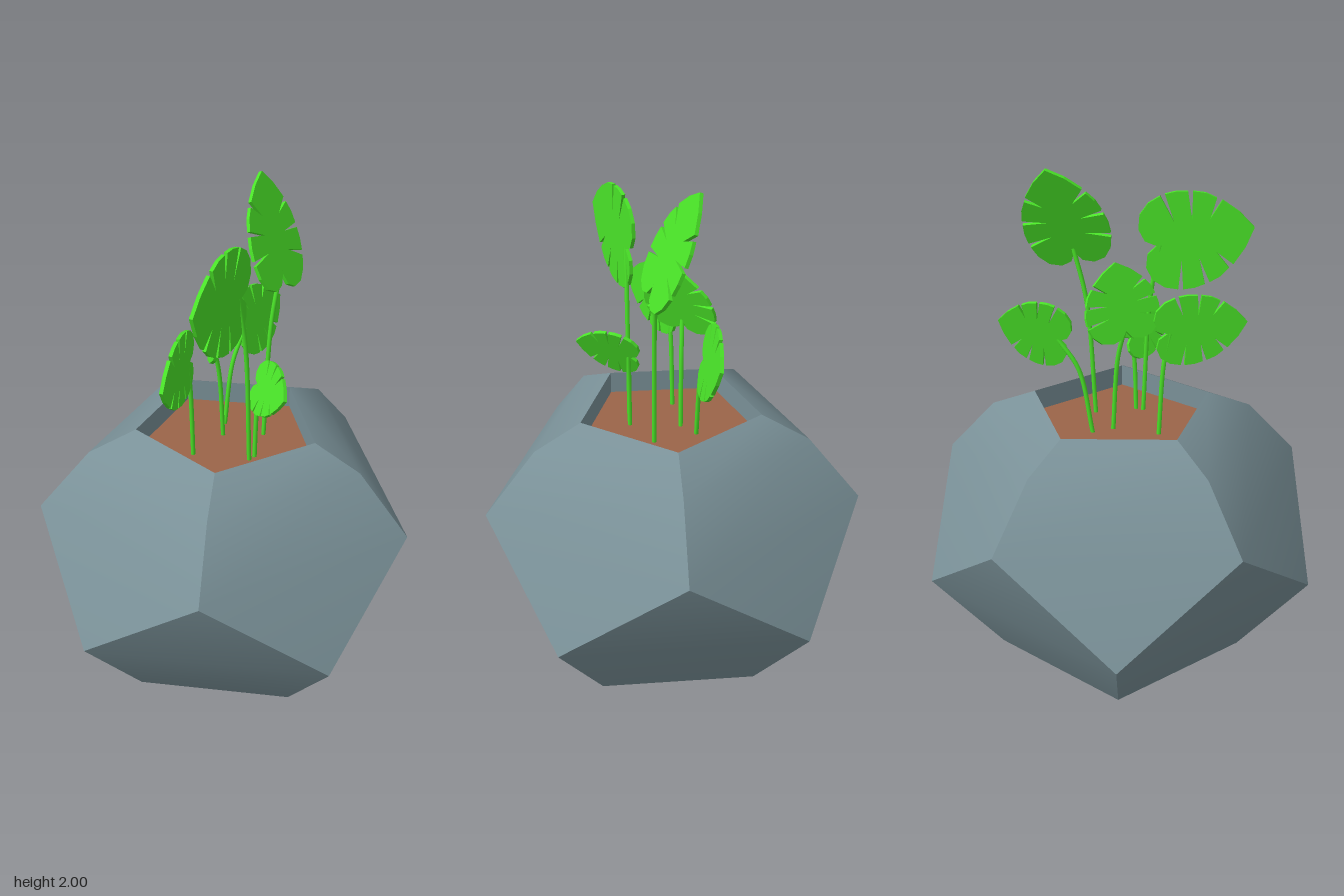
import * as THREE from 'three';
import { mergeGeometries } from 'three/addons/utils/BufferGeometryUtils.js';

const stone = new THREE.MeshStandardMaterial({ color: 0x7a9198 });
stone.name = 'blue grey stone';
const earth = new THREE.MeshStandardMaterial({ color: 0x9b6449 });
earth.name = 'brown soil';
const green = new THREE.MeshStandardMaterial({ color: 0x4ae428 });
green.name = 'leaf green';

const CENTRE_X = 0.015;
const SOIL_Y = 0.97;

// Point on a ring of the pot, angle in degrees
function ringPoint([radius, y], degrees) {
  const a = THREE.MathUtils.degToRad(degrees);
  return [CENTRE_X + radius * Math.cos(a), y, radius * Math.sin(a)];
}

// One panel, smooth inside and sharp against its neighbours
function panel(points, index) {
  const g = new THREE.BufferGeometry();
  g.setAttribute('position', new THREE.Float32BufferAttribute(points.flat(), 3));
  g.setIndex(index);
  g.computeVertexNormals();
  return g;
}

function makePot() {
  const base = [0.525, 0], lower = [0.805, 0.37], upper = [0.77, 0.74];
  const shoulder = [0.56, 0.975], rim = [0.37, 1.06], inner = [0.37, SOIL_Y];
  const panels = [];
  for (let k = 0; k < 5; k++) {
    const a = 36 + 72 * k, r = a - 36, l = a + 36, b = 72 * k;
    // upper panel, bending inwards at the shoulder
    panels.push(panel([
      ringPoint(lower, a), ringPoint(upper, r), ringPoint(upper, l),
      ringPoint(shoulder, r), ringPoint(shoulder, l), ringPoint(rim, r), ringPoint(rim, l),
    ], [0, 1, 2, 2, 1, 3, 2, 3, 4, 4, 3, 5, 4, 5, 6]));
    // lower panel
    panels.push(panel([
      ringPoint(base, b + 36), ringPoint(base, b - 36),
      ringPoint(lower, b - 36), ringPoint(lower, b + 36), ringPoint(upper, b),
    ], [0, 1, 2, 0, 2, 3, 3, 2, 4]));
    // inside wall of the opening
    panels.push(panel([
      ringPoint(rim, l), ringPoint(rim, r), ringPoint(inner, r), ringPoint(inner, l),
    ], [0, 1, 2, 0, 2, 3]));
  }
  // closed underside
  const floor = new THREE.CircleGeometry(base[0], 5, Math.PI / 5).rotateX(Math.PI / 2).translate(CENTRE_X, 0, 0);
  floor.deleteAttribute('uv');
  panels.push(floor);
  const pot = new THREE.Mesh(mergeGeometries(panels), stone);
  pot.name = 'pot';
  return pot;
}

// Half outline of a split leaf: half width, distance along the midrib
const HALF_LEAF = [
  [0, 0], [0.07, -0.11], [0.2, -0.15], [0.34, -0.11], [0.44, 0], [0.485, 0.13],
  [0.2, 0.22], [0.495, 0.18], [0.5, 0.3], [0.48, 0.41], [0.2, 0.4], [0.47, 0.46],
  [0.43, 0.58], [0.36, 0.68], [0.17, 0.58], [0.33, 0.73], [0.18, 0.88], [0, 1],
];
const LEAF_MIDDLE = 0.425;

function leafGeometry(length, width) {
  const right = HALF_LEAF.map(([x, y]) => new THREE.Vector2(x * width, (y - LEAF_MIDDLE) * length));
  const left = right.slice(1, -1).reverse().map((p) => new THREE.Vector2(-p.x, p.y));
  const depth = 0.014;
  return new THREE.ExtrudeGeometry(new THREE.Shape([...right, ...left]), { depth, bevelEnabled: false })
    .translate(0, 0, -depth / 2);
}

function makeLeafAndStem({ name, centre, axis, normal, length, width, root }) {
  const group = new THREE.Group();
  group.name = name;
  const mid = new THREE.Vector3(...centre);
  const n = new THREE.Vector3(...normal).normalize();
  const y = new THREE.Vector3(...axis);
  y.addScaledVector(n, -y.dot(n)).normalize();
  const x = new THREE.Vector3().crossVectors(y, n);

  const blade = new THREE.Mesh(leafGeometry(length, width), green);
  blade.name = 'leafBlade';
  blade.quaternion.setFromRotationMatrix(new THREE.Matrix4().makeBasis(x, y, n));
  blade.position.copy(mid);

  // stem rises from the soil and bends into the back of the leaf notch
  const end = mid.clone().addScaledVector(y, -(LEAF_MIDDLE - 0.04) * length);
  const start = new THREE.Vector3(root[0], SOIL_Y - 0.01, root[1]);
  const bend = start.clone().lerp(end, 0.4);
  bend.y = THREE.MathUtils.lerp(start.y, end.y, 0.7);
  const curve = new THREE.CatmullRomCurve3([start, bend, end]);
  const stem = new THREE.Mesh(new THREE.TubeGeometry(curve, 14, 0.009, 7), green);
  stem.name = 'stem';

  group.add(blade, stem);
  return group;
}

const LEAVES = [
  { name: 'upperRightLeaf', centre: [-0.23, 1.71, 0.195], axis: [-0.93, 0.2, 0.29], normal: [0.3, 0, 0.955],
    length: 0.375, width: 0.385, root: [-0.03, 0.155] },
  { name: 'lowerRightLeaf', centre: [-0.295, 1.41, 0.04], axis: [-0.87, 0.1, 0.46], normal: [0.47, 0, 0.885],
    length: 0.31, width: 0.28, root: [-0.155, -0.03] },
  { name: 'middleLeaf', centre: [0, 1.505, -0.035], axis: [0.23, 0.95, 0.19], normal: [-0.73, 0.3, -0.61],
    length: 0.26, width: 0.32, root: [0.03, -0.045] },
  { name: 'frontLeaf', centre: [-0.01, 1.3, 0.235], axis: [-0.4, 0.2, 0.85], normal: [-0.82, 0.4, -0.41],
    length: 0.225, width: 0.21, root: [0, 0.155] },
  { name: 'upperLeftLeaf', centre: [0.245, 1.795, 0.005], axis: [0.12, 0.9, -0.37], normal: [0.2, 0.38, 0.9],
    length: 0.385, width: 0.33, root: [0.145, 0.07] },
  { name: 'lowerLeftLeaf', centre: [0.322, 1.38, -0.125], axis: [0.95, 0.25, -0.1], normal: [0.06, 0.2, 0.97],
    length: 0.25, width: 0.285, root: [0.095, -0.1] },
];

export function createModel() {
  const model = new THREE.Group();
  model.name = 'pottedPlant';
  model.add(makePot());

  const soil = new THREE.Mesh(new THREE.CircleGeometry(0.37, 5).rotateX(-Math.PI / 2), earth);
  soil.name = 'soil';
  soil.position.set(CENTRE_X, SOIL_Y, 0);
  model.add(soil);

  for (const leaf of LEAVES) model.add(makeLeafAndStem(leaf));
  return model;
}
